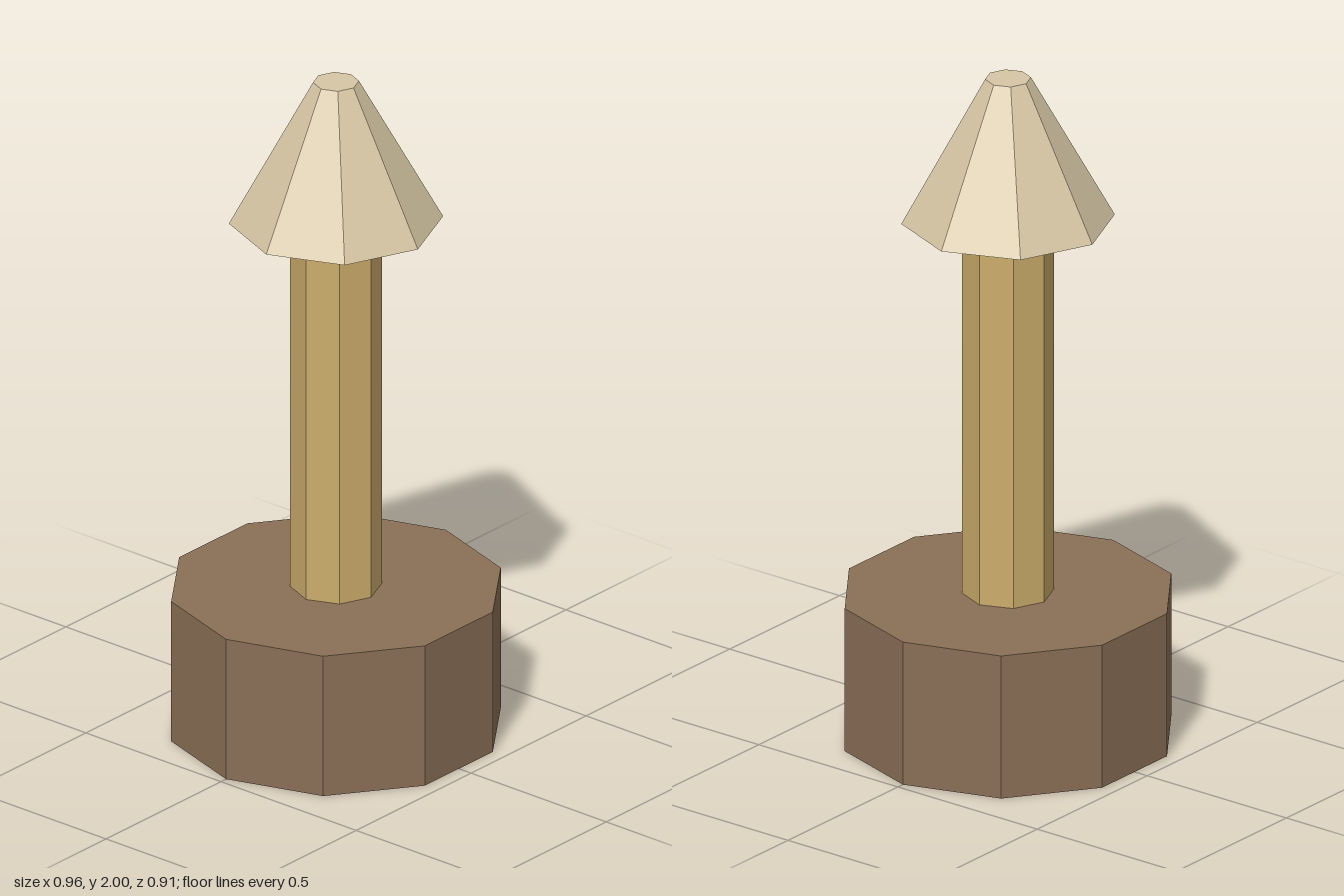
import * as THREE from 'three';

function material(name, color) {
  const m = new THREE.MeshStandardMaterial({ color, flatShading: true });
  m.name = name;
  return m;
}

export function createModel() {
  const model = new THREE.Group();
  model.name = 'post';

  // Faceted round part standing between two heights, with corners on the x axis
  function addPrism(name, topRadius, bottomRadius, bottom, top, sides, mat) {
    const geometry = new THREE.CylinderGeometry(topRadius, bottomRadius, top - bottom, sides);
    geometry.rotateY(Math.PI / 2);
    const mesh = new THREE.Mesh(geometry, mat);
    mesh.name = name;
    mesh.position.y = (bottom + top) / 2;
    model.add(mesh);
  }

  // Heavy ten-sided foot
  addPrism('base', 0.478, 0.478, 0, 0.435, 10, material('brown', 0x8a6f56));
  // Slim eight-sided post
  addPrism('shaft', 0.13, 0.13, 0.435, 1.57, 8, material('ochre', 0xcbac6b));
  // Tapered cap with a small flat top
  addPrism('cap', 0.065, 0.303, 1.57, 2, 8, material('cream', 0xd6c6a4));

  return model;
}
